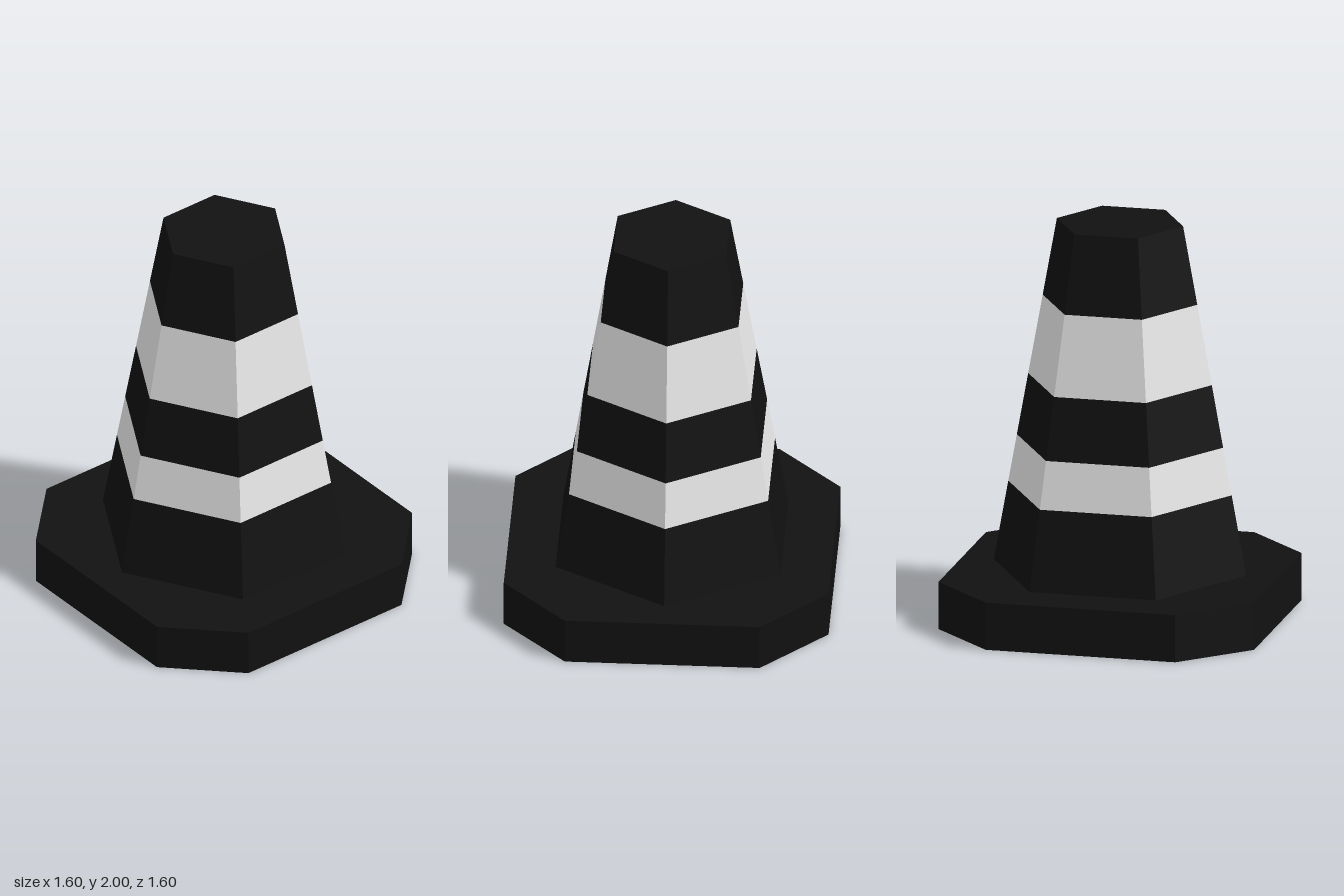
import * as THREE from 'three';

export function createModel() {
  const group = new THREE.Group();
  const black = new THREE.MeshStandardMaterial({ color: 0x111111 });
  const white = new THREE.MeshStandardMaterial({ color: 0xe8e8e8 });
  black.name = 'black rubber';
  white.name = 'white stripe';

  function add(name, geometry, material) {
    // Split the vertices so every facet is flat
    const flat = geometry.toNonIndexed();
    flat.computeVertexNormals();
    const mesh = new THREE.Mesh(flat, material);
    mesh.name = name;
    group.add(mesh);
  }

  // Base: square slab with cut corners
  const baseHeight = 0.24, half = 0.8, cut = 0.48;
  const outline = new THREE.Shape([
    [half, -cut], [half, cut], [cut, half], [-cut, half],
    [-half, cut], [-half, -cut], [-cut, -half], [cut, -half],
  ].map(([x, y]) => new THREE.Vector2(x, y)));
  const slab = new THREE.ExtrudeGeometry(outline, { depth: baseHeight, bevelEnabled: false });
  slab.rotateX(-Math.PI / 2);
  // Extrude output has no index, so it is already faceted
  const base = new THREE.Mesh(slab, black);
  base.name = 'base';
  group.add(base);

  // Cone: six-sided tapered bands stacked upwards, only the last one capped
  const levels = [baseHeight, 0.645, 0.885, 1.2, 1.605, 2];
  const names = ['lowerCone', 'lowerStripe', 'middleCone', 'upperStripe', 'coneTop'];
  const radiusAt = (y) => 0.64 - 0.32 * (y - baseHeight) / (2 - baseHeight);
  names.forEach((name, i) => {
    const y0 = levels[i], y1 = levels[i + 1];
    const isTop = i === names.length - 1;
    const band = new THREE.CylinderGeometry(radiusAt(y1), radiusAt(y0), y1 - y0, 6, 1, !isTop);
    band.translate(0, (y0 + y1) / 2, 0);
    add(name, band, i % 2 ? white : black);
  });

  return group;
}
